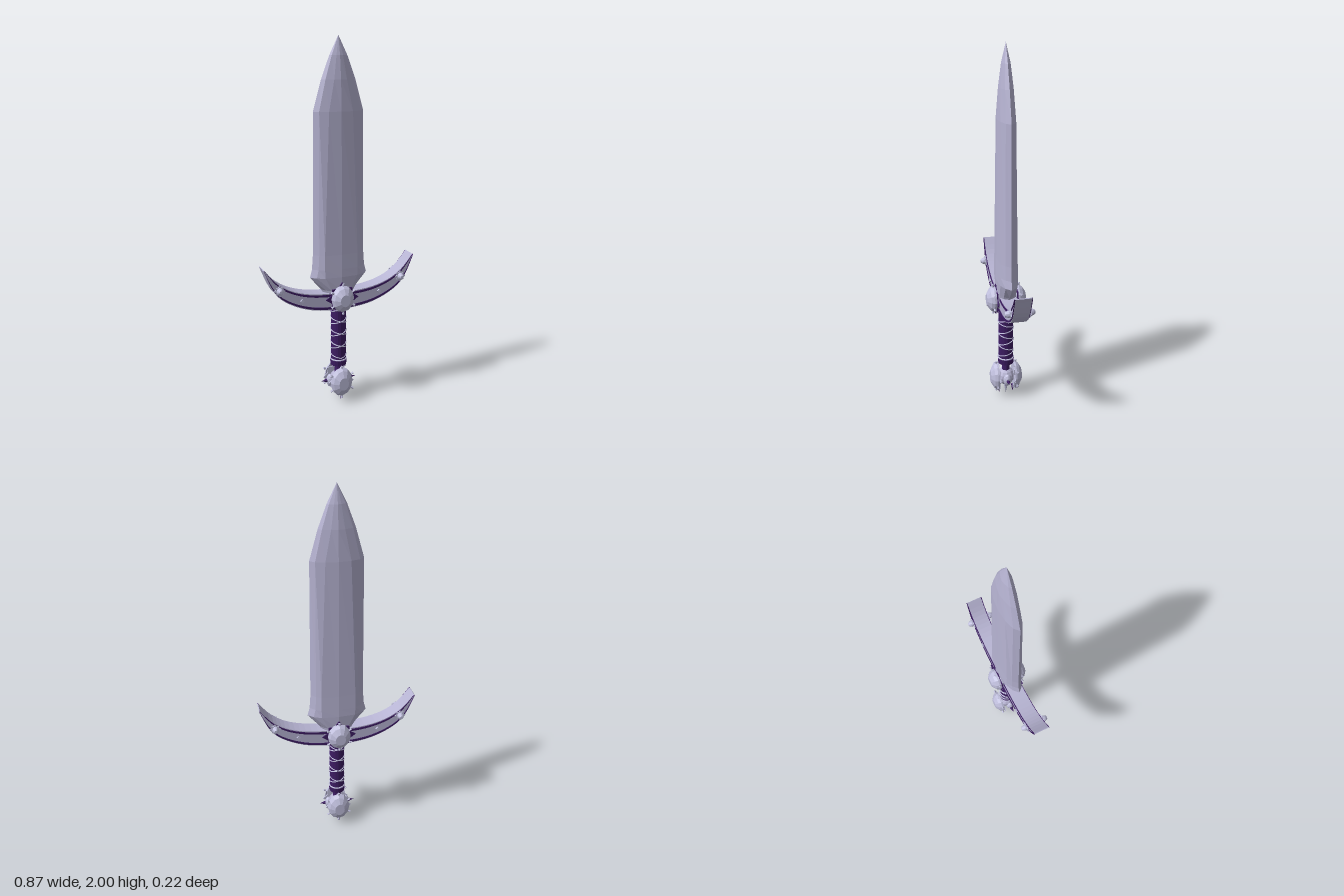
import * as THREE from 'three';

const mat = (name, color) => {
  const m = new THREE.MeshStandardMaterial({ color, flatShading: true, side: THREE.DoubleSide });
  m.name = name;
  return m;
};

export function createModel() {
  const steel = mat('lavender steel', 0xb7b4d3);
  const silver = mat('pale silver', 0xc0bfdd);
  const purple = mat('deep purple', 0x3d1c63);
  const root = new THREE.Group();
  const add = (parent, name, geo, m, x = 0, y = 0, z = 0) => {
    const mesh = new THREE.Mesh(geo, m);
    mesh.name = name;
    mesh.position.set(x, y, z);
    parent.add(mesh);
    return mesh;
  };

  // Blade: faceted cross-sections [y, half width, inner facet x, half thickness]
  const rows = [
    [0.60, 0.07, 0.045, 0.05], [0.66, 0.10, 0.055, 0.054], [0.735, 0.165, 0.092, 0.056],
    [0.78, 0.153, 0.095, 0.055], [0.86, 0.147, 0.094, 0.053], [1.62, 0.14, 0.066, 0.046],
    [1.78, 0.095, 0.035, 0.038], [1.9, 0.05, 0.018, 0.024], [2.0, 0, 0, 0],
  ];
  const ring = ([y, w, m, t]) => {
    const q = [[w, 0], [w * 0.82, t * 0.52], [m, t * 0.86], [0, t]];
    const half = [...q, ...q.slice(1, 3).reverse().map(([x, z]) => [-x, z])];
    return [...half, ...half.map(([x, z]) => [-x, -z])].map(([x, z]) => [x, y, z]);
  };
  const pos = [];
  for (let r = 0; r < rows.length - 1; r++) {
    const A = ring(rows[r]), B = ring(rows[r + 1]);
    A.forEach((a, i) => {
      const j = (i + 1) % A.length;
      pos.push(...a, ...B[i], ...B[j], ...a, ...B[j], ...A[j]);
    });
  }
  const bladeGeo = new THREE.BufferGeometry();
  bladeGeo.setAttribute('position', new THREE.Float32BufferAttribute(pos, 3));
  bladeGeo.computeVertexNormals();
  add(root, 'blade', bladeGeo, steel);

  // Crescent guard between a lower and an upper curve
  const curve = (pts) => {
    const all = [...pts.slice(1).reverse().map(([x, y]) => [-x, y]), ...pts];
    return new THREE.SplineCurve(all.map(([x, y]) => new THREE.Vector2(x, y))).getPoints(32);
  };
  const low = curve([[0, 0.548], [0.16, 0.562], [0.29, 0.612], [0.375, 0.685], [0.434, 0.815]]);
  const high = curve([[0, 0.645], [0.15, 0.652], [0.27, 0.682], [0.36, 0.737], [0.43, 0.818]]);
  const band = (a, b) => new THREE.Shape([
    ...low.map((p, i) => p.clone().lerp(high[i], a)),
    ...low.map((p, i) => p.clone().lerp(high[i], b)).reverse(),
  ]);
  const extrude = (shape, depth) => new THREE.ExtrudeGeometry(shape, { depth, bevelEnabled: false });
  add(root, 'guard', extrude(band(0, 1), 0.086), steel, 0, 0, -0.043);

  // Faceted oval gem facing +z, unit base radius
  const gemGeo = (rx, ry, h) => {
    const profile = [[1, 0], [1, 0.25], [0.86, 0.6], [0.45, 1], [0, 1]];
    const g = new THREE.LatheGeometry(profile.map(([r, y]) => new THREE.Vector2(r, y)), 12);
    return g.rotateX(Math.PI / 2).scale(rx, ry, h);
  };
  // Eight-pointed plate behind a gem
  const starGeo = (rx, ry) => {
    const pts = [];
    for (let i = 0; i < 16; i++) {
      const a = i * Math.PI / 8, k = i % 4 === 0 ? 1 : i % 2 === 0 ? 0.86 : 0.68;
      pts.push(new THREE.Vector2(Math.cos(a) * rx * k, Math.sin(a) * ry * k));
    }
    return extrude(new THREE.Shape(pts), 0.006);
  };
  // Claws gripping the rim of a gem
  const addClaws = (parent, rx, ry, y, z) => {
    for (let i = 0; i < 6; i++) {
      const a = Math.PI / 6 + i * Math.PI / 3;
      const claw = add(parent, 'claw', new THREE.ConeGeometry(0.008, 0.035, 4), silver,
        Math.cos(a) * rx, y + Math.sin(a) * ry, z);
      claw.rotation.z = a + Math.PI / 2;
    }
  };

  // Ornaments repeated on front and back
  for (const side of ['front', 'back']) {
    const face = new THREE.Group();
    face.name = side + 'Ornaments';
    if (side === 'back') face.rotation.y = Math.PI;
    root.add(face);

    add(face, 'guardLowerTrim', extrude(band(0.06, 0.19), 0.005), purple, 0, 0, 0.042);
    add(face, 'guardUpperTrim', extrude(band(0.81, 0.94), 0.005), purple, 0, 0, 0.042);

    add(face, 'guardGemBase', new THREE.CylinderGeometry(1, 1, 0.03, 12)
      .rotateX(Math.PI / 2).scale(0.055, 0.066, 1), silver, 0, 0.615, 0.048);
    add(face, 'guardGemPlate', starGeo(0.095, 0.092), purple, 0, 0.615, 0.054);
    add(face, 'guardGem', gemGeo(0.064, 0.075, 0.05), silver, 0, 0.615, 0.059);
    addClaws(face, 0.06, 0.07, 0.615, 0.072);

    for (const s of [-1, 1]) {
      add(face, 'studPlate', starGeo(0.032, 0.032), silver, s * 0.352, 0.698, 0.048);
      add(face, 'stud', gemGeo(0.018, 0.02, 0.027), silver, s * 0.352, 0.698, 0.052);
      const rivet = add(face, 'rivet', new THREE.BoxGeometry(0.016, 0.016, 0.01), silver,
        s * 0.225, 0.625, 0.047);
      rivet.rotation.z = Math.PI / 4;
    }

    add(face, 'pommelPlate', starGeo(0.075, 0.095), silver, 0, 0.115, 0.04);
    add(face, 'pommelGem', gemGeo(0.064, 0.084, 0.046), silver, 0, 0.118, 0.044);
    addClaws(face, 0.06, 0.078, 0.118, 0.056);
    add(face, 'pommelProng', new THREE.ConeGeometry(0.009, 0.05, 4).rotateX(Math.PI),
      purple, 0, 0.028, 0.04);
  }

  // Grip with crossed silver wire
  add(root, 'grip', new THREE.CylinderGeometry(0.042, 0.042, 0.34, 16), purple, 0, 0.385, 0);
  for (const dir of [-1, 1]) {
    const pts = [];
    for (let i = 0; i <= 80; i++) {
      const a = dir * (i / 80) * Math.PI * 2 * 4;
      pts.push(new THREE.Vector3(Math.sin(a) * 0.043, 0.255 + 0.29 * i / 80, Math.cos(a) * 0.043));
    }
    add(root, 'gripWire', new THREE.TubeGeometry(new THREE.CatmullRomCurve3(pts), 160, 0.003, 5), silver);
  }
  add(root, 'gripCollar', new THREE.CylinderGeometry(0.047, 0.044, 0.03, 16), purple, 0, 0.222, 0);
  add(root, 'collarRing', new THREE.TorusGeometry(0.044, 0.004, 6, 24).rotateX(Math.PI / 2),
    silver, 0, 0.243, 0);

  // Pommel core, neck and side spikes
  add(root, 'pommelCore', new THREE.SphereGeometry(0.052, 10, 8), steel, 0, 0.115, 0);
  add(root, 'pommelNeck', new THREE.CylinderGeometry(0.02, 0.024, 0.07, 8), purple, 0, 0.18, 0);
  for (const s of [-1, 1]) {
    add(root, 'sideGem', gemGeo(0.024, 0.036, 0.022), silver, s * 0.048, 0.115, 0)
      .rotation.y = s * Math.PI / 2;
    add(root, 'sideSpike', new THREE.ConeGeometry(0.013, 0.04, 6), purple, s * 0.082, 0.115, 0)
      .rotation.z = -s * Math.PI / 2;
  }
  add(root, 'bottomSpike', new THREE.ConeGeometry(0.016, 0.075, 6).rotateX(Math.PI), silver, 0, 0.0375, 0);
  return root;
}
